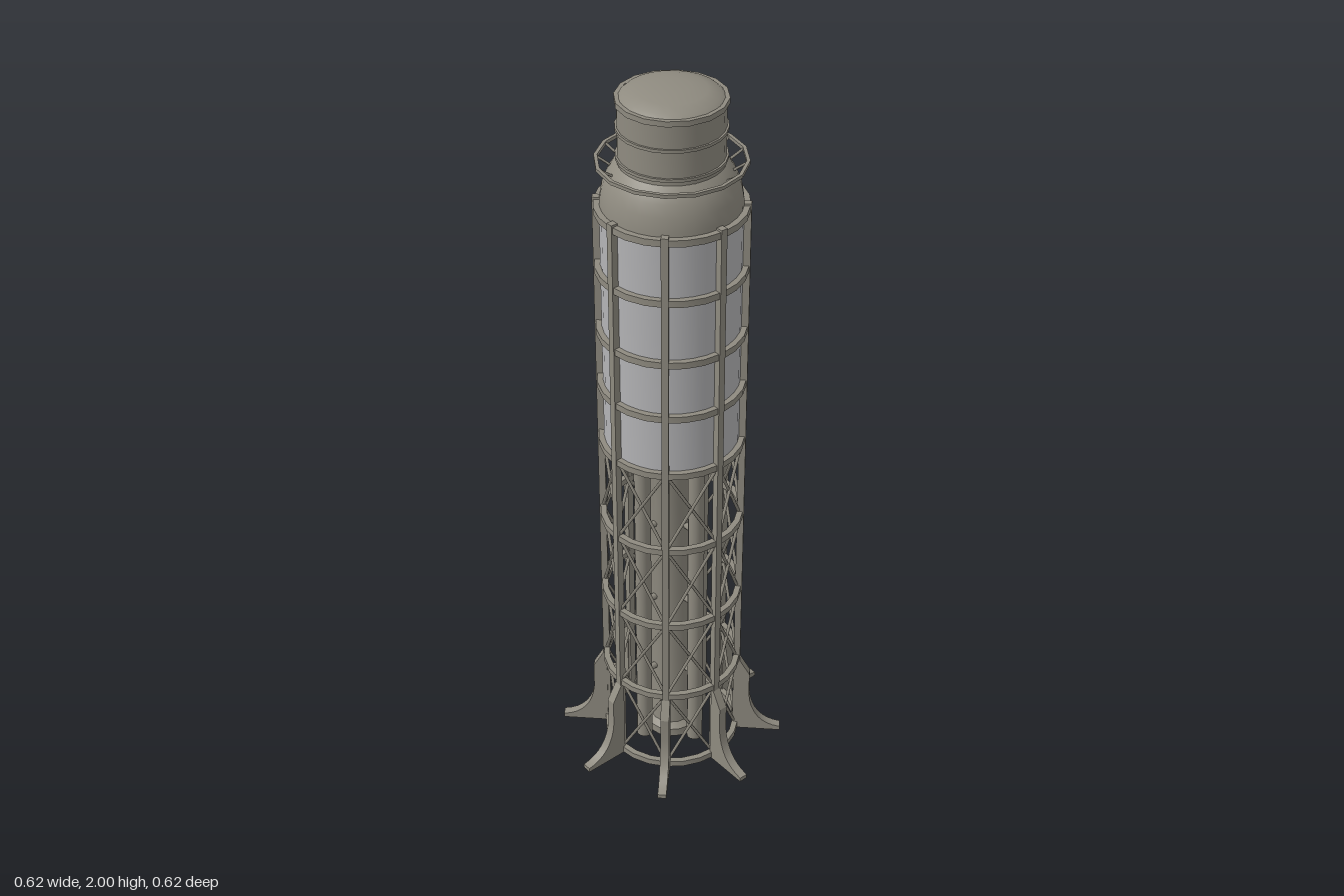
import * as THREE from 'three';
import { toCreasedNormals } from 'three/addons/utils/BufferGeometryUtils.js';

const metal = new THREE.MeshStandardMaterial({ color: 0x8f8b80, side: THREE.DoubleSide });
const panel = new THREE.MeshStandardMaterial({ color: 0xb4b4b6, side: THREE.DoubleSide });

const V = (x, y, z) => new THREE.Vector3(x, y, z);
const polar = (a, r, y) => V(Math.sin(a) * r, y, Math.cos(a) * r);

function add(parent, name, geometry, material = metal) {
  const mesh = new THREE.Mesh(geometry, material);
  mesh.name = name;
  parent.add(mesh);
  return mesh;
}

// Lathe from [radius, height] pairs, with sharp edges kept
function lathe(points, sides) {
  const g = new THREE.LatheGeometry(points.map(p => new THREE.Vector2(p[0], p[1])), sides);
  return toCreasedNormals(g, 0.5);
}

// Rectangular-section hoop
const hoop = (r0, r1, y, h, sides) => lathe(
  [[r0, y - h / 2], [r1, y - h / 2], [r1, y + h / 2], [r0, y + h / 2], [r0, y - h / 2]], sides);

// Straight bar between two points
function bar(parent, name, a, b, r, sides = 5) {
  const d = b.clone().sub(a);
  const m = add(parent, name, new THREE.CylinderGeometry(r, r, d.length(), sides));
  m.position.copy(a).add(b).multiplyScalar(0.5);
  m.quaternion.setFromUnitVectors(V(0, 1, 0), d.normalize());
  return m;
}

export function createModel() {
  const root = new THREE.Group();
  root.name = 'tower';

  // Tank, shoulder and neck
  add(root, 'tank', lathe([[0, 1.0], [0.175, 1.0], [0.175, 1.69]], 32), panel);
  add(root, 'shoulder', lathe([[0.175, 1.685], [0.174, 1.71], [0.168, 1.745],
    [0.157, 1.775], [0.143, 1.797], [0.13, 1.81]], 32));
  add(root, 'neck', lathe([[0.13, 1.8], [0.13, 1.97]], 24));
  add(root, 'cap', lathe([[0.13, 1.972], [0.115, 1.985], [0.085, 1.994], [0.045, 2.0], [0, 2.0]], 24));
  add(root, 'capRim', hoop(0.125, 0.136, 1.97, 0.014, 16));
  for (const y of [1.825, 1.9]) add(root, 'neckBand', hoop(0.127, 0.135, y, 0.008, 24));

  // Rail around the shoulder, held by sloping brackets
  const rail = new THREE.Group();
  rail.name = 'shoulderRail';
  root.add(rail);
  add(rail, 'railHoop', hoop(0.177, 0.186, 1.812, 0.009, 16));
  for (let i = 0; i < 16; i++) {
    const a = i * Math.PI / 8;
    bar(rail, 'railBracket', polar(a, 0.145, 1.789), polar(a, 0.18, 1.812), 0.0035);
  }

  // Hoops of the outer frame
  const levels = [0.012, 0.265, 0.515, 0.77, 1.015, 1.19, 1.35, 1.525, 1.69];
  for (const y of levels) add(root, 'frameHoop', hoop(0.174, 0.19, y, 0.018, 24));

  // Flared foot profile, outward along x
  const foot = new THREE.Shape();
  foot.moveTo(0.182, 0);
  foot.lineTo(0.31, 0);
  foot.lineTo(0.31, 0.013);
  foot.bezierCurveTo(0.255, 0.02, 0.225, 0.06, 0.22, 0.13);
  foot.lineTo(0.22, 0.205);
  foot.lineTo(0.192, 0.255);
  foot.lineTo(0.182, 0.255);
  foot.closePath();
  const footGeo = toCreasedNormals(new THREE.ExtrudeGeometry(foot,
    { depth: 0.024, bevelEnabled: false, curveSegments: 8 }).translate(0, 0, -0.012), 0.5);

  // Eight posts, feet and cross-braced bays
  for (let i = 0; i < 8; i++) {
    const a = i * Math.PI / 4, b = a + Math.PI / 4;
    const post = add(root, 'post', new THREE.BoxGeometry(0.018, 1.705, 0.018));
    post.position.copy(polar(a, 0.183, 0.8525));
    post.rotation.y = a;
    add(root, 'foot', footGeo).rotation.y = a;
    for (let k = 0; k < 4; k++) {
      const [y0, y1] = [levels[k], levels[k + 1]];
      bar(root, 'brace', polar(a, 0.183, y0), polar(b, 0.183, y1), 0.0045);
      bar(root, 'brace', polar(b, 0.18, y0), polar(a, 0.18, y1), 0.0045);
    }
  }

  // Central column with surrounding pipes and clamps
  add(root, 'core', lathe([[0, 0.01], [0.075, 0.01], [0.075, 0.035], [0.06, 0.05],
    [0.06, 0.96], [0.08, 1.0]], 16));
  for (let i = 0; i < 4; i++) {
    const a = Math.PI / 4 + i * Math.PI / 2;
    bar(root, 'pipe', polar(a, 0.1, 0.02), polar(a, 0.1, 1.0), 0.022, 12);
    for (const y of [0.25, 0.5, 0.75]) {
      bar(root, 'pipeClamp', polar(a, 0.05, y), polar(a, 0.1, y), 0.009, 6);
    }
    bar(root, 'pipeCollar', polar(a, 0.1, 0.96), polar(a, 0.1, 1.0), 0.03, 12);
  }
  return root;
}
